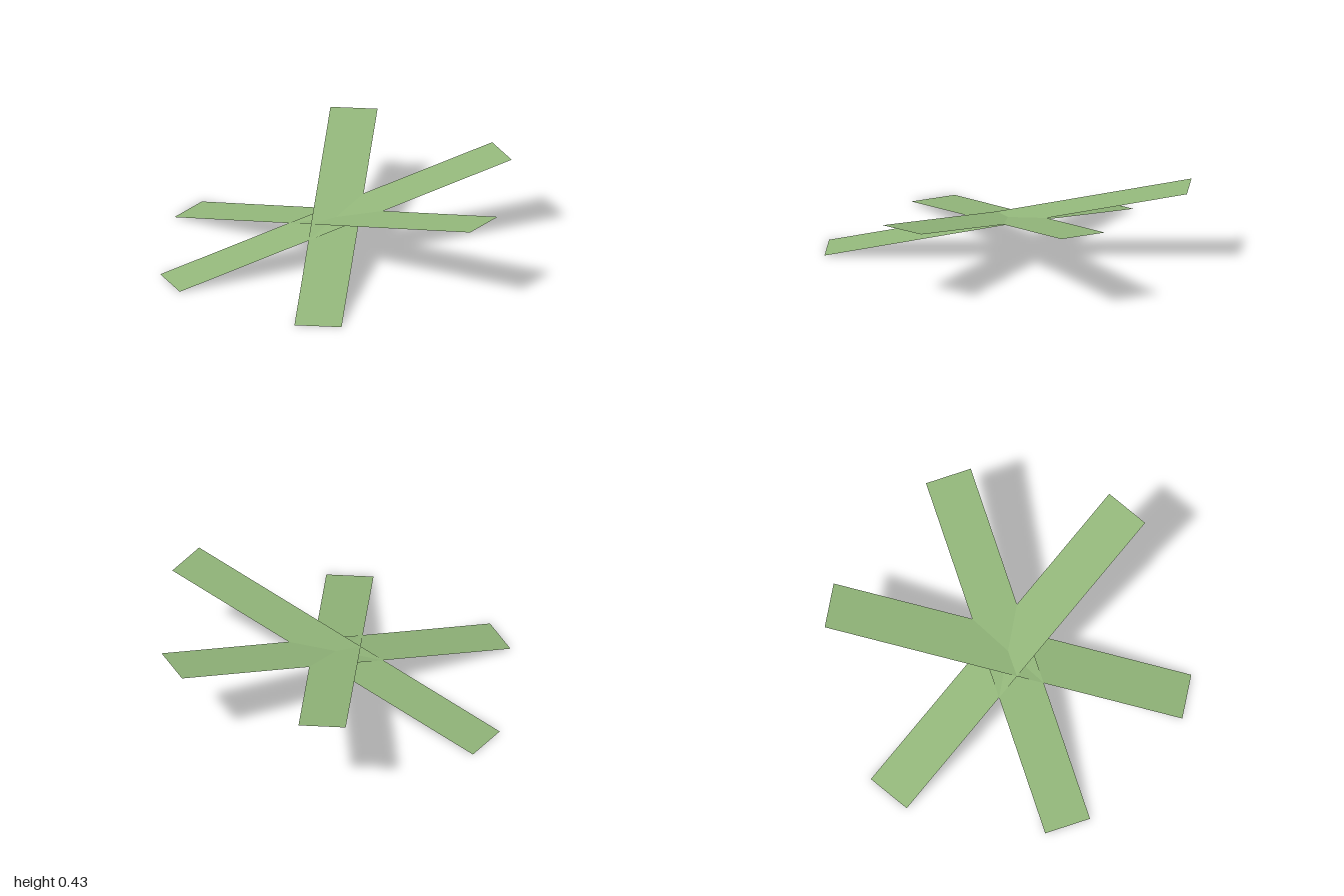
import * as THREE from 'three';

export function createModel() {
  const model = new THREE.Group();
  model.name = 'grassTuft';

  const leafGreen = new THREE.MeshStandardMaterial({ color: 0x92b67a, side: THREE.DoubleSide });
  leafGreen.name = 'leafGreen';

  // One flat blade lying along x, tilted so that its +x end is raised
  const rise = 0.427;
  const tilt = Math.atan2(rise, 2);
  const blade = new THREE.PlaneGeometry(Math.hypot(2, rise), 0.26);
  blade.rotateX(-Math.PI / 2);
  blade.rotateZ(tilt);
  blade.translate(0, rise / 2, 0);

  // Three blades crossing at the centre, 60 degrees apart
  [30, -30, -90].forEach((degrees, i) => {
    const mesh = new THREE.Mesh(blade, leafGreen);
    mesh.name = `blade${i + 1}`;
    mesh.rotation.y = THREE.MathUtils.degToRad(degrees);
    model.add(mesh);
  });

  return model;
}
